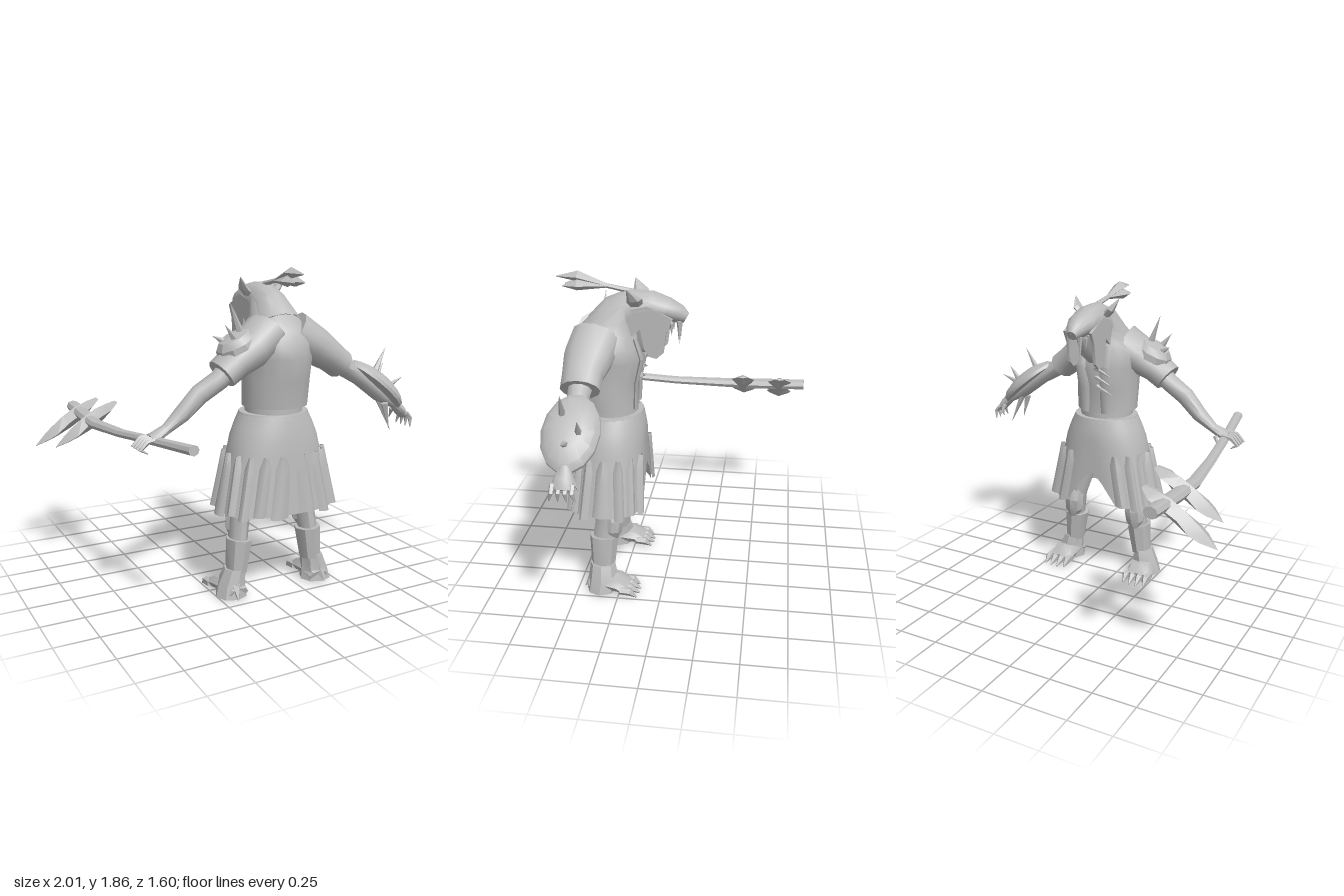
import * as THREE from 'three';
import { toCreasedNormals } from 'three/addons/utils/BufferGeometryUtils.js';

const CX = 0.12; // body's mirror plane
const V = (x, y, z) => new THREE.Vector3(x, y, z);
const AX = V(1, 0, 0), AZ = V(0, 0, 1);

export function createModel() {
  const model = new THREE.Group();
  const grey = new THREE.MeshStandardMaterial({ color: 0xbcbcbc, side: THREE.DoubleSide });
  grey.name = 'plain grey';

  function add(name, geo, crease = 0.7) {
    const mesh = new THREE.Mesh(toCreasedNormals(geo, crease), grey);
    mesh.name = name;
    model.add(mesh);
    return mesh;
  }
  function fromGrid(pos, idx) {
    const g = new THREE.BufferGeometry();
    g.setAttribute('position', new THREE.Float32BufferAttribute(pos, 3));
    g.setIndex(idx);
    return g;
  }
  // Closed loft through sections [x, y, z, radius along ref, other radius]
  function loft(name, secs, ref, n = 10, axis = null, crease = 0.7) {
    const pos = [], idx = [], c = secs.map(s => V(s[0], s[1], s[2]));
    secs.forEach((s, i) => {
      const T = axis ? axis.clone()
        : c[Math.min(i + 1, c.length - 1)].clone().sub(c[Math.max(i - 1, 0)]).normalize();
      const U = ref.clone().addScaledVector(T, -ref.dot(T)).normalize();
      const W = T.clone().cross(U);
      for (let j = 0; j < n; j++) {
        const a = j / n * Math.PI * 2;
        const p = c[i].clone().addScaledVector(U, Math.cos(a) * s[3]).addScaledVector(W, Math.sin(a) * s[4]);
        pos.push(p.x, p.y, p.z);
      }
    });
    const m = secs.length, first = m * n;
    pos.push(...c[0].toArray(), ...c[m - 1].toArray());
    for (let j = 0; j < n; j++) {
      const k = (j + 1) % n, e = (m - 1) * n;
      for (let i = 0; i < m - 1; i++) {
        const a = i * n + j, b = i * n + k;
        idx.push(a, b, a + n, b, b + n, a + n);
      }
      idx.push(first, k, j, first + 1, e + j, e + k);
    }
    return add(name, fromGrid(pos, idx), crease);
  }
  function spike(name, from, to, r, sides = 5) {
    const a = V(...from), d = V(...to).sub(a), len = d.length();
    const g = new THREE.ConeGeometry(r, len, sides);
    g.translate(0, len / 2, 0);
    g.applyQuaternion(new THREE.Quaternion().setFromUnitVectors(V(0, 1, 0), d.normalize()));
    g.translate(a.x, a.y, a.z);
    add(name, g, 0.4);
  }

  // Torso, waist and hooded head
  const UP = V(0, 1, 0);
  loft('waist', [[CX, 1.03, 0.33, 0.165, 0.16], [CX, 1.13, 0.33, 0.165, 0.16]], AX, 16, UP);
  loft('vest', [
    [CX, 1.1, 0.34, 0.19, 0.175], [CX, 1.25, 0.35, 0.195, 0.185], [CX, 1.38, 0.345, 0.2, 0.22],
    [CX, 1.46, 0.35, 0.215, 0.205], [CX, 1.53, 0.34, 0.17, 0.185], [CX, 1.6, 0.31, 0.13, 0.145],
    [CX, 1.67, 0.25, 0.1, 0.12], [CX, 1.73, 0.2, 0.07, 0.08]], AX, 16, UP);
  loft('hood', [
    [CX, 1.53, 0.36, 0.15, 0.12], [CX, 1.62, 0.27, 0.11, 0.125], [CX, 1.665, 0.18, 0.095, 0.115],
    [CX, 1.68, 0.08, 0.095, 0.085], [CX, 1.665, 0, 0.085, 0.065], [CX, 1.64, -0.07, 0.055, 0.05],
    [CX, 1.62, -0.105, 0.03, 0.03]], AX, 12);
  loft('face', [[CX, 1.42, 0.15, 0.03, 0.03], [CX, 1.48, 0.12, 0.06, 0.07],
    [CX, 1.6, 0.1, 0.08, 0.09]], AX, 8, UP);
  spike('nose', [CX, 1.66, -0.06], [CX, 1.63, -0.115], 0.03);

  // Feather crest at the back of the head
  loft('crestStem', [[CX, 1.76, 0.2, 0.02, 0.015], [CX, 1.79, 0.36, 0.015, 0.012]], AX, 6);
  [[0.62, 1.83, 0], [0.58, 1.785, 0.025], [0.58, 1.785, -0.025]].forEach(([z, y, dx]) =>
    loft('crestFeather', [[CX, 1.785, 0.33, 0.012, 0.01],
      [CX + dx, y + 0.005, 0.5, 0.045, 0.03], [CX + dx * 1.3, y, z, 0.003, 0.003]], AX, 4, null, 0.3));

  // Hanging side flaps of the hood
  const flap = new THREE.Shape([[0.33, 1.56], [0.28, 1.45], [0.14, 1.57], [0.12, 1.46], [0.09, 1.415],
    [0.05, 1.405], [0.01, 1.44], [-0.005, 1.56], [-0.04, 1.63], [0.1, 1.7], [0.25, 1.66]]
    .map(p => new THREE.Vector2(-p[0], p[1])));
  for (const s of [-1, 1]) {
    const X = d => CX + s * d;
    const g = new THREE.ExtrudeGeometry(flap, { depth: 0.018, bevelEnabled: false });
    g.rotateY(Math.PI / 2);
    g.translate(X(0.085) - 0.009, 0, 0);
    add('hoodFlap', g);
    loft('ear', [[X(0.06), 1.69, 0.17, 0.045, 0.02], [X(0.11), 1.74, 0.165, 0.045, 0.02],
      [X(0.145), 1.8, 0.2, 0.003, 0.003]], AZ, 6, null, 0.4);
    spike('fang', [X(0.035), 1.61, -0.07], [X(0.035), 1.48, -0.07], 0.016);
    spike('smallFang', [X(0.05), 1.6, -0.03], [X(0.05), 1.53, -0.03], 0.014);

    // Sleeve
    loft('sleeve', [[X(0.08), 1.51, 0.38, 0.15, 0.12], [X(0.2), 1.43, 0.41, 0.14, 0.11],
      [X(0.3), 1.365, 0.42, 0.115, 0.09], [X(0.375), 1.31, 0.42, 0.11, 0.085]], AZ, 12);

    // Open vest edge
    loft('vestEdge', [[X(0.07), 1.1, 0.175, 0.03, 0.012], [X(0.07), 1.25, 0.168, 0.035, 0.012],
      [X(0.08), 1.4, 0.135, 0.035, 0.012], [X(0.09), 1.52, 0.17, 0.025, 0.012]], AX, 6);

    // Leg, knee guard and shin guard
    loft('leg', [[X(0.17), 0.85, 0.34, 0.1, 0.1], [X(0.19), 0.65, 0.34, 0.09, 0.09],
      [X(0.215), 0.48, 0.325, 0.058, 0.07], [X(0.23), 0.36, 0.34, 0.052, 0.07],
      [X(0.25), 0.2, 0.35, 0.05, 0.06], [X(0.27), 0.08, 0.36, 0.05, 0.06]], AX, 10);
    loft('kneeGuard', [[X(0.21), 0.53, 0.31, 0.05, 0.055], [X(0.22), 0.45, 0.29, 0.065, 0.06],
      [X(0.225), 0.38, 0.3, 0.06, 0.06], [X(0.23), 0.32, 0.3, 0.02, 0.03]], AX, 8, null, 0.4);
    loft('shinGuard', [[X(0.23), 0.34, 0.35, 0.075, 0.085], [X(0.25), 0.15, 0.355, 0.06, 0.07]], AX, 8);

    // Foot with claws
    loft('ankleCuff', [[X(0.26), 0.17, 0.355, 0.06, 0.075], [X(0.28), 0.08, 0.35, 0.08, 0.09],
      [X(0.285), 0.01, 0.36, 0.095, 0.09]], AX, 8, UP.clone().negate(), 0.4);
    loft('foot', [[X(0.27), 0.04, 0.43, 0.06, 0.035], [X(0.275), 0.065, 0.35, 0.075, 0.06],
      [X(0.285), 0.06, 0.26, 0.085, 0.05], [X(0.29), 0.035, 0.2, 0.09, 0.03]], AX, 8, null, 0.5);
    spike('heelSpur', [X(0.28), 0.08, 0.41], [X(0.29), 0.01, 0.465], 0.035);
    for (let i = 0; i < 4; i++) {
      const d = 0.22 + i * 0.046, z = 0.12 + 0.012 * Math.abs(i - 1.5);
      loft('toe', [[X(d), 0.045, 0.24, 0.025, 0.025], [X(d), 0.04, 0.18, 0.024, 0.026],
        [X(d + 0.003), 0.008, z, 0.004, 0.004]], AX, 5, null, 0.4);
    }
  }

  // Chest fangs
  for (let i = 0; i < 3; i++) {
    const y = 1.39 - i * 0.06;
    spike('chestFang', [CX - 0.02, y, 0.14 + i * 0.01], [CX - 0.14, y - 0.05, 0.12 + i * 0.015], 0.018);
  }

  // Skirt: squared rings flaring downward, hem raised at the middle of -z side
  function skirtPoint(a, t, off) {
    const c = Math.cos(a), s = Math.sin(a), e = 1 - 0.28 * t;
    const open = Math.max(0, 1 - Math.abs(c) / 0.4) * (s < 0 ? 1 : 0);
    const f = Math.min(1, t / 0.2), k = t * (1 - 0.4 * open);
    const rx = 0.2 + 0.03 * f + 0.115 * k + off, rz = 0.185 + 0.015 * f + 0.025 * k + off;
    return [CX + Math.sign(c) * rx * Math.abs(c) ** e, 1.06 - 0.56 * k,
      0.325 + 0.015 * t + Math.sign(s) * rz * Math.abs(s) ** e];
  }
  function skirtSheet(name, a0, a1, t0, t1, off, nu, nv) {
    const g = new THREE.PlaneGeometry(1, 1, nu, nv), p = g.attributes.position;
    for (let i = 0; i < p.count; i++) {
      const u = p.getX(i) + 0.5, v = 0.5 - p.getY(i);
      const w = off && v === 0 ? 0.4 : 1; // panels taper to the top
      const a = (a0 + a1) / 2 + (u - 0.5) * (a0 - a1) * w;
      const bow = off ? off * (0.2 + 0.8 * Math.sin(Math.PI * u)) : 0;
      p.setXYZ(i, ...skirtPoint(a, t0 + (t1 - t0) * v, bow));
    }
    add(name, g, 0.6);
  }
  skirtSheet('skirt', 0, Math.PI * 2, 0, 0.98, 0, 48, 8);
  loft('skirtBelt', [[CX, 1.04, 0.325, 0.207, 0.19], [CX, 1.065, 0.325, 0.2, 0.183]], AX, 24, UP);
  for (let i = 0; i < 18; i++) {
    const a = -Math.PI / 2 + (i + 0.5) / 18 * Math.PI * 2;
    if (Math.cos(a) ** 2 < 0.15 && Math.sin(a) < 0) continue;
    skirtSheet('skirtPanel', a - 0.13, a + 0.13, 0.38, i % 2 ? 1.0 : 0.96, 0.028, 4, 5);
  }

  // Arms
  loft('leftArm', [[0.42, 1.36, 0.42, 0.075, 0.065], [0.53, 1.29, 0.42, 0.062, 0.055],
    [0.65, 1.22, 0.41, 0.055, 0.05], [0.8, 1.11, 0.41, 0.055, 0.05], [0.91, 1.04, 0.41, 0.035, 0.03],
    [0.95, 1.0, 0.41, 0.055, 0.03], [0.98, 0.96, 0.41, 0.05, 0.02]], AZ, 10);
  loft('rightArm', [[-0.18, 1.36, 0.42, 0.075, 0.065], [-0.27, 1.28, 0.42, 0.06, 0.055],
    [-0.38, 1.21, 0.41, 0.05, 0.055], [-0.48, 1.11, 0.4, 0.05, 0.045], [-0.57, 1.04, 0.4, 0.034, 0.028],
    [-0.62, 1.015, 0.405, 0.05, 0.03], [-0.66, 1.0, 0.405, 0.05, 0.025]], AZ, 10);
  for (let i = 0; i < 4; i++) {
    const z = 0.36 + i * 0.035;
    loft('leftFinger', [[0.965, 0.985, z, 0.014, 0.014], [0.995, 0.95, z, 0.014, 0.014],
      [0.985, 0.9, z + (i - 1.5) * 0.01, 0.003, 0.003]], AZ, 5);
    loft('rightFinger', [[-0.64, 1.01, z, 0.014, 0.014], [-0.7, 1.0, z, 0.014, 0.014],
      [-0.74, 0.96, z, 0.012, 0.012], [-0.7, 0.94, z, 0.004, 0.004]], AZ, 5);
  }
  spike('leftThumb', [0.93, 1.0, 0.37], [0.94, 0.93, 0.33], 0.016);
  spike('rightThumb', [-0.6, 1.0, 0.36], [-0.63, 0.95, 0.33], 0.016);

  // Spiked round guard on the left forearm
  const N = V(0.64, 0.77, 0);
  loft('forearmGuard', [[-0.02, 1], [0, 1], [0.03, 0.85], [0.055, 0.5], [0.065, 0.02]].map(([t, k]) =>
    [0.755 + N.x * t, 1.175 + N.y * t, 0.415, 0.155 * k, 0.225 * k]), AZ, 14, N, 0.5);
  [[[0.72, 1.25, 0.46], [0.8, 1.395, 0.45]], [[0.8, 1.19, 0.36], [0.865, 1.285, 0.35]],
    [[0.84, 1.15, 0.42], [0.97, 1.2, 0.41]], [[0.8, 1.08, 0.4], [0.9, 0.87, 0.4]],
    [[0.8, 1.06, 0.46], [0.84, 0.9, 0.46]]].forEach(([a, b]) => spike('guardSpike', a, b, 0.022));

  // Spiked shoulder plate on the right shoulder
  const S = V(-0.45, 0.89, 0);
  loft('shoulderPlate', [[-0.03, 1], [0.01, 0.95], [0.045, 0.7], [0.06, 0.05]].map(([t, k]) =>
    [-0.16 + S.x * t, 1.465 + S.y * t, 0.41, 0.115 * k, 0.125 * k]), AZ, 10, S, 0.5);
  [[[-0.13, 1.5, 0.41], [-0.2, 1.69, 0.41]], [[-0.18, 1.48, 0.45], [-0.255, 1.575, 0.46]],
    [[-0.21, 1.47, 0.38], [-0.285, 1.51, 0.37]]].forEach(([a, b]) => spike('shoulderSpike', a, b, 0.026));

  // War axe: bent shaft with two double-sided heads
  loft('axeShaft', [[-0.59, 1.02, 0.79, 0.032, 0.028], [-0.65, 0.99, 0.4, 0.03, 0.025],
    [-0.69, 0.955, 0.05, 0.032, 0.025], [-0.725, 0.94, -0.28, 0.04, 0.03],
    [-0.72, 0.945, -0.52, 0.045, 0.035], [-0.71, 0.955, -0.8, 0.04, 0.034]], AX, 8);
  [[-0.4, -0.94, 0.80, -0.56, 1.04], [-0.64, -1.0, 0.76, -0.6, 1.02]].forEach(([z, tx, ty, bx, by]) => {
    const at = (k, a, b) => [bx + (tx - bx) * k, by + (ty - by) * k, z, a, b];
    loft('axeHead', [at(0, 0.03, 0.006), at(0.14, 0.075, 0.03), at(0.3, 0.06, 0.045), at(0.5, 0.05, 0.045),
      at(0.7, 0.082, 0.035), at(0.82, 0.065, 0.025), at(1, 0.002, 0.002)], AZ, 4, null, 0.4);
  });
  return model;
}
